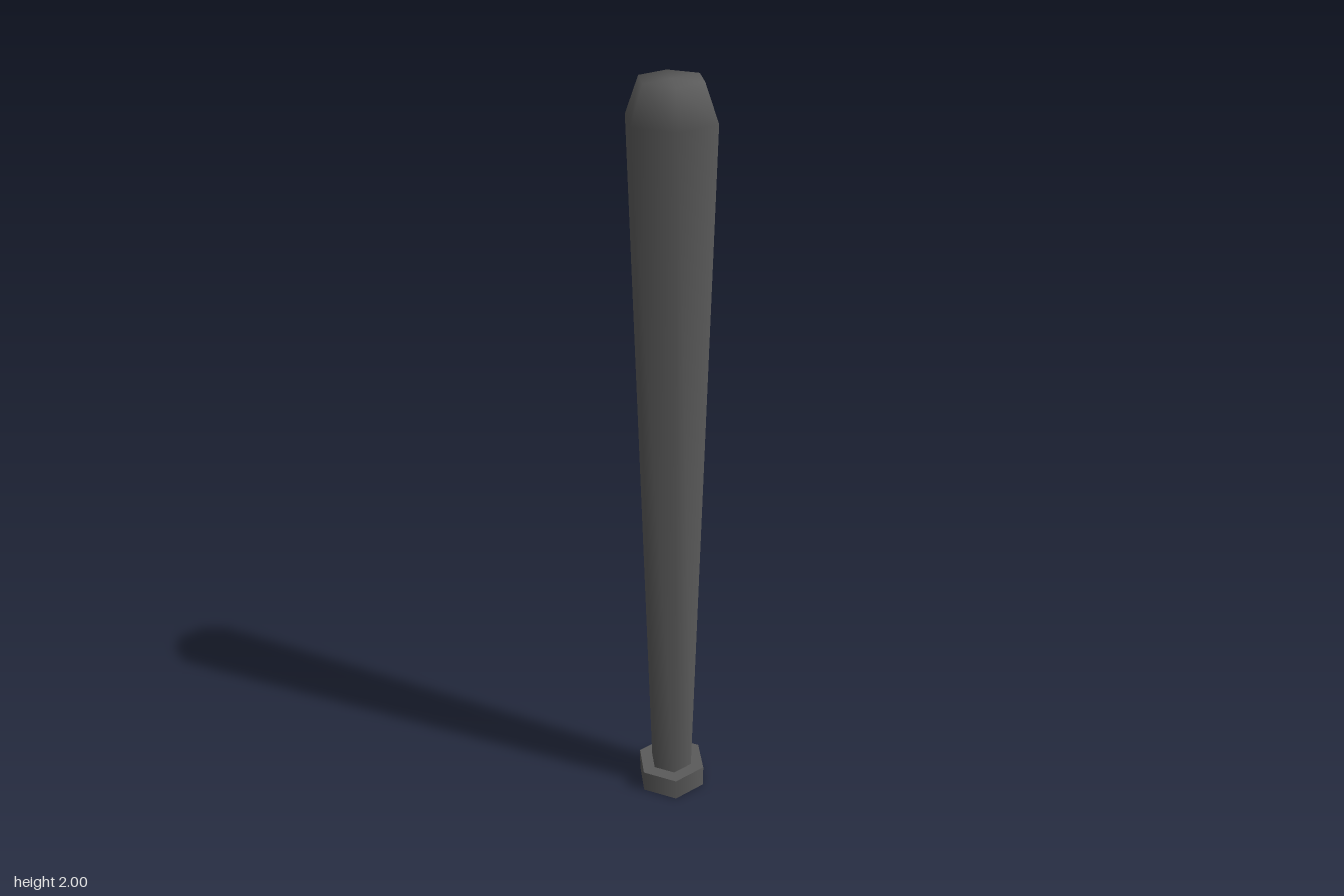
import * as THREE from 'three';

const SIDES = 6;
const TURN = Math.PI / 2; // puts a corner on the x axis

export function createModel() {
  const model = new THREE.Group();
  model.name = 'bat';
  const material = new THREE.MeshStandardMaterial({ color: 0x5a5a5a });

  const add = (name, geometry, y = 0) => {
    const mesh = new THREE.Mesh(geometry, material);
    mesh.name = name;
    mesh.position.y = y;
    model.add(mesh);
  };

  // Knob: short hexagonal prism with sharp rims
  const knobHeight = 0.063;
  add('knob', new THREE.CylinderGeometry(0.098, 0.098, knobHeight, SIDES, 1, false, TURN), knobHeight / 2);

  // Handle widening into the barrel, with a softly shaded bevelled tip
  const profile = [
    [0.06, knobHeight],
    [0.114, 1.91],
    [0.08, 2],
    [0, 2],
  ].map(([r, y]) => new THREE.Vector2(r, y));
  add('barrel', new THREE.LatheGeometry(profile, SIDES, TURN));

  return model;
}
